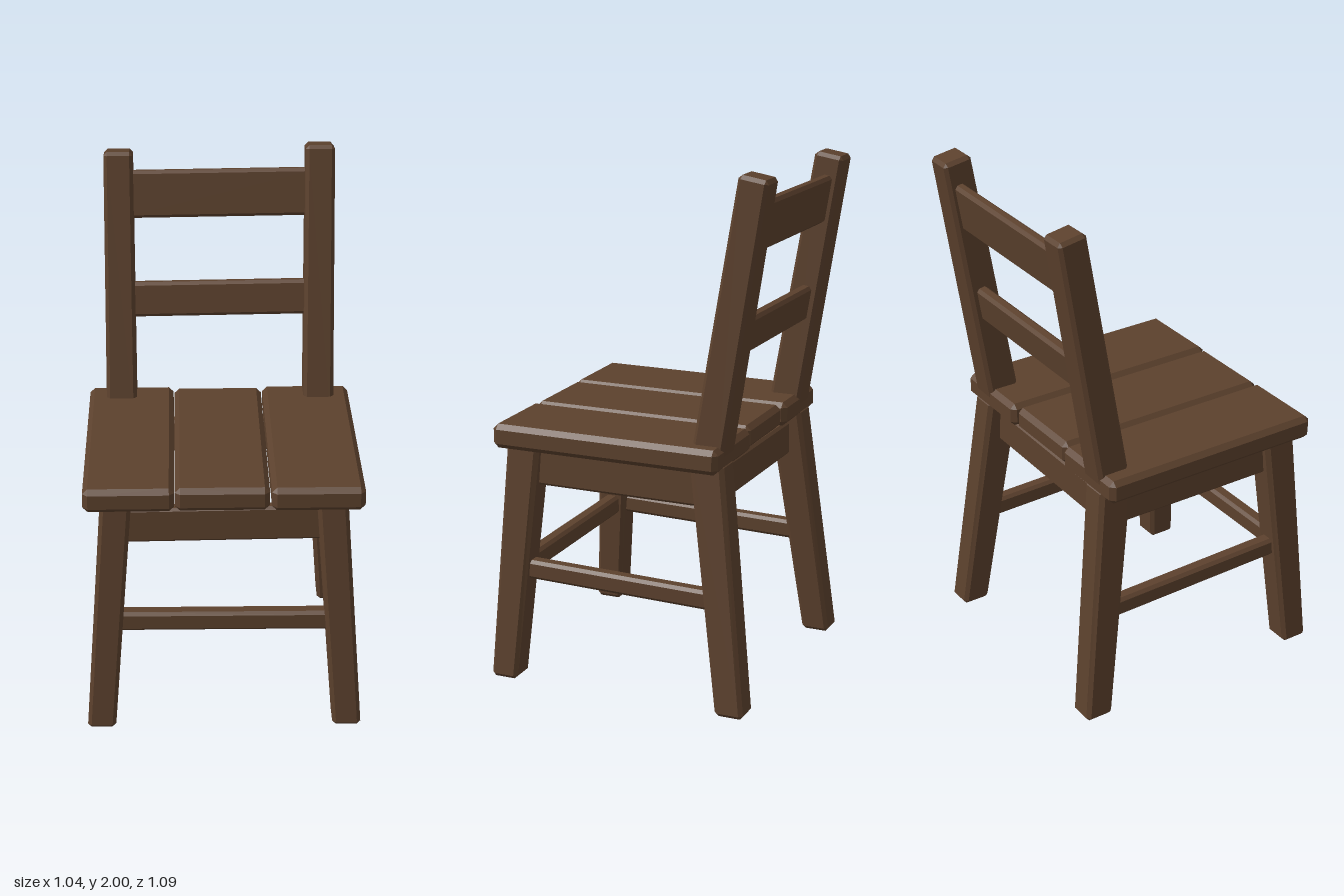
import * as THREE from 'three';
import { ConvexGeometry } from 'three/addons/geometries/ConvexGeometry.js';

const wood = new THREE.MeshStandardMaterial({ color: 0x5c412d });
wood.name = 'dark wood';

// Box with flat chamfers on every edge
function chamferBox(w, h, d, b) {
  const pts = [];
  for (const sx of [-1, 1]) for (const sy of [-1, 1]) for (const sz of [-1, 1]) {
    const x = w / 2, y = h / 2, z = d / 2;
    pts.push(
      new THREE.Vector3(sx * x, sy * (y - b), sz * (z - b)),
      new THREE.Vector3(sx * (x - b), sy * y, sz * (z - b)),
      new THREE.Vector3(sx * (x - b), sy * (y - b), sz * z));
  }
  return new ConvexGeometry(pts);
}

// Upright timber from foot to head, tapering and leaning; sizes are [x, z].
// With square = true the ends are cut square to the lean, otherwise level.
function upright(name, foot, head, footSize, headSize, b, square = false) {
  const dx = head[0] - foot[0], dy = head[1] - foot[1], dz = head[2] - foot[2];
  const h = square ? Math.hypot(dy, dz) : dy;
  const geo = chamferBox(footSize[0], h, footSize[1], b);
  const p = geo.attributes.position;
  for (let i = 0; i < p.count; i++) {
    const t = p.getY(i) / h + 0.5;
    const kx = THREE.MathUtils.lerp(1, headSize[0] / footSize[0], t);
    const kz = THREE.MathUtils.lerp(1, headSize[1] / footSize[1], t);
    p.setX(i, p.getX(i) * kx + dx * (t - 0.5));
    p.setZ(i, p.getZ(i) * kz + (square ? 0 : dz * (t - 0.5)));
  }
  geo.computeVertexNormals();
  const mesh = new THREE.Mesh(geo, wood);
  mesh.name = name;
  mesh.position.set(foot[0] + dx / 2, foot[1] + dy / 2, foot[2] + dz / 2);
  if (square) mesh.rotation.x = Math.atan2(dz, dy);
  return mesh;
}

// Straight chamfered board with an optional tilt
function board(name, size, pos, b, rot = [0, 0, 0]) {
  const mesh = new THREE.Mesh(chamferBox(...size, b), wood);
  mesh.name = name;
  mesh.position.set(...pos);
  mesh.rotation.set(...rot);
  return mesh;
}

export function createModel() {
  const chair = new THREE.Group();
  chair.name = 'chair';

  // Seat planks
  chair.add(
    board('seatPlankRight', [0.334, 0.093, 0.907], [-0.351, 0.967, 0.069], 0.019, [0, 0.003, 0]),
    board('seatPlankMiddle', [0.347, 0.092, 0.89], [-0.008, 0.967, 0.073], 0.019, [0, 0.002, 0]),
    board('seatPlankLeft', [0.342, 0.093, 0.907], [0.343, 0.967, 0.069], 0.019, [0, 0.003, 0]));

  for (const s of [-1, 1]) {
    const side = s > 0 ? 'Left' : 'Right';

    // Splayed legs
    chair.add(
      upright('frontLeg' + side, [s * 0.469, 0, 0.492], [s * 0.398, 0.94, 0.424],
        [0.108, 0.108], [0.115, 0.135], 0.014),
      upright('backLeg' + side, [s * 0.469, 0, -0.441], [s * 0.398, 0.95, -0.318],
        [0.108, 0.112], [0.115, 0.135], 0.014));

    // Back posts, one slightly shorter
    const top = s > 0 ? 1.99 : 1.967;
    chair.add(upright('backPost' + side, [s * 0.391, 0.94, -0.315], [s * 0.389, top, -0.487],
      [0.12, 0.126], [0.112, 0.114], 0.014, true));

    // Side rails under the seat and side stretchers
    chair.add(
      board('sideApron' + side, [0.05, 0.14, 0.7], [s * 0.405, 0.84, 0.05], 0.01),
      board('sideStretcher' + side, [0.06, 0.074, 0.8], [s * 0.434, 0.43, 0.04], 0.012, [-0.02, 0, 0]));
  }

  // Front and back rails, front stretcher
  chair.add(
    board('frontApron', [0.74, 0.138, 0.05], [0, 0.832, 0.425], 0.01, [0, 0, 0.011]),
    board('backApron', [0.74, 0.138, 0.05], [0, 0.832, -0.315], 0.01, [0, 0, 0.011]),
    board('frontStretcher', [0.82, 0.078, 0.06], [0, 0.434, 0.455], 0.012, [0, 0, -0.003]));

  // Back slats following the lean of the posts
  chair.add(
    board('upperSlat', [0.72, 0.185, 0.044], [0, 1.8, -0.468], 0.012, [-0.162, 0, 0.011]),
    board('lowerSlat', [0.72, 0.138, 0.048], [0, 1.39, -0.396], 0.012, [-0.162, 0, 0.011]));

  return chair;
}
